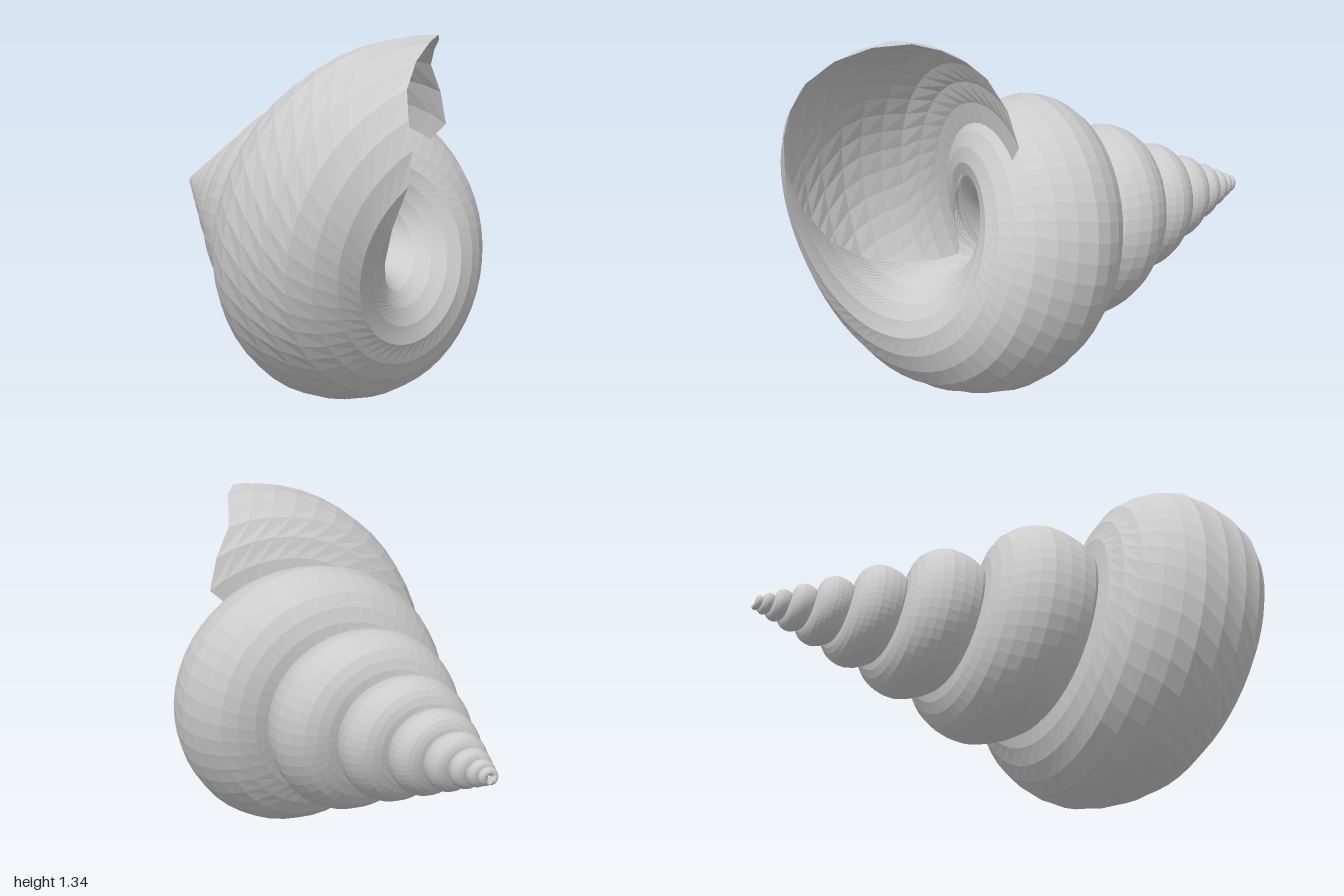
import * as THREE from 'three';

const AXIS_X = 0.06, AXIS_Y = 0.622, APEX_Z = -1.045; // coiling axis runs along z
const GROWTH = 1.48;                                   // size ratio per whorl
const TURNS = 8.6, STEPS = 48, SIDES = 24;

// Lead or lag of the slanted lip in degrees, at eight points around the section
const LIP = [7, -20, -42, -112, -150, -50, 40, 20];
function lipAngle(u) {
  const f = u * LIP.length, k = Math.floor(f), t = f - k;
  const at = (n) => LIP[(n + LIP.length) % LIP.length];
  const p0 = at(k - 1), p1 = at(k), p2 = at(k + 1), p3 = at(k + 2);
  return p1 + 0.5 * t * (p2 - p0 + t * (2 * p0 - 5 * p1 + 4 * p2 - p3 + t * (3 * (p1 - p2) + p3 - p0)));
}

// Egg-shaped tube section with faint spiral ribs, swept along a logarithmic helix
function shellPoint(turn, u, open) {
  const c = Math.cos(u * Math.PI * 2), d = Math.sin(u * Math.PI * 2);
  const rib = (1 + 0.008 * Math.cos(u * Math.PI * 16)) * open;
  // the growth lines lean towards the lip over the last whorl
  const phase = turn + Math.max(0, 1 + turn) * lipAngle(u) / 360;
  const s = Math.pow(GROWTH, phase), a = phase * Math.PI * 2;
  const r = (0.40 + (c > 0 ? 0.333 : 0.29) * rib * c) * s;
  const z = (1.70 + (d > 0 ? 0.42 : 0.33) * rib * d) * s;
  return [AXIS_X + r * Math.sin(a), AXIS_Y + r * Math.cos(a), APEX_Z + z];
}

function spiralGeometry() {
  const rows = Math.round(TURNS * STEPS), pos = [], idx = [];
  for (let i = 0; i <= rows; i++) {
    for (let j = 0; j < SIDES; j++) {
      // the first ring shrinks to close the tip
      pos.push(...shellPoint((i - rows) / STEPS, j / SIDES, i === 0 ? 0 : 1));
    }
  }
  for (let i = 0; i < rows; i++) {
    for (let j = 0; j < SIDES; j++) {
      const k = (j + 1) % SIDES;
      const a = i * SIDES + j, b = i * SIDES + k;
      idx.push(a, b, a + SIDES, b, b + SIDES, a + SIDES);
    }
  }
  const g = new THREE.BufferGeometry();
  g.setAttribute('position', new THREE.Float32BufferAttribute(pos, 3));
  g.setIndex(idx);
  g.computeVertexNormals();
  return g;
}

export function createModel() {
  const group = new THREE.Group();
  group.name = 'seaShell';
  const material = new THREE.MeshStandardMaterial({
    color: 0xcccccc, flatShading: true, side: THREE.DoubleSide,
  });
  const whorls = new THREE.Mesh(spiralGeometry(), material);
  whorls.name = 'spiralWhorls';
  group.add(whorls);
  return group;
}
